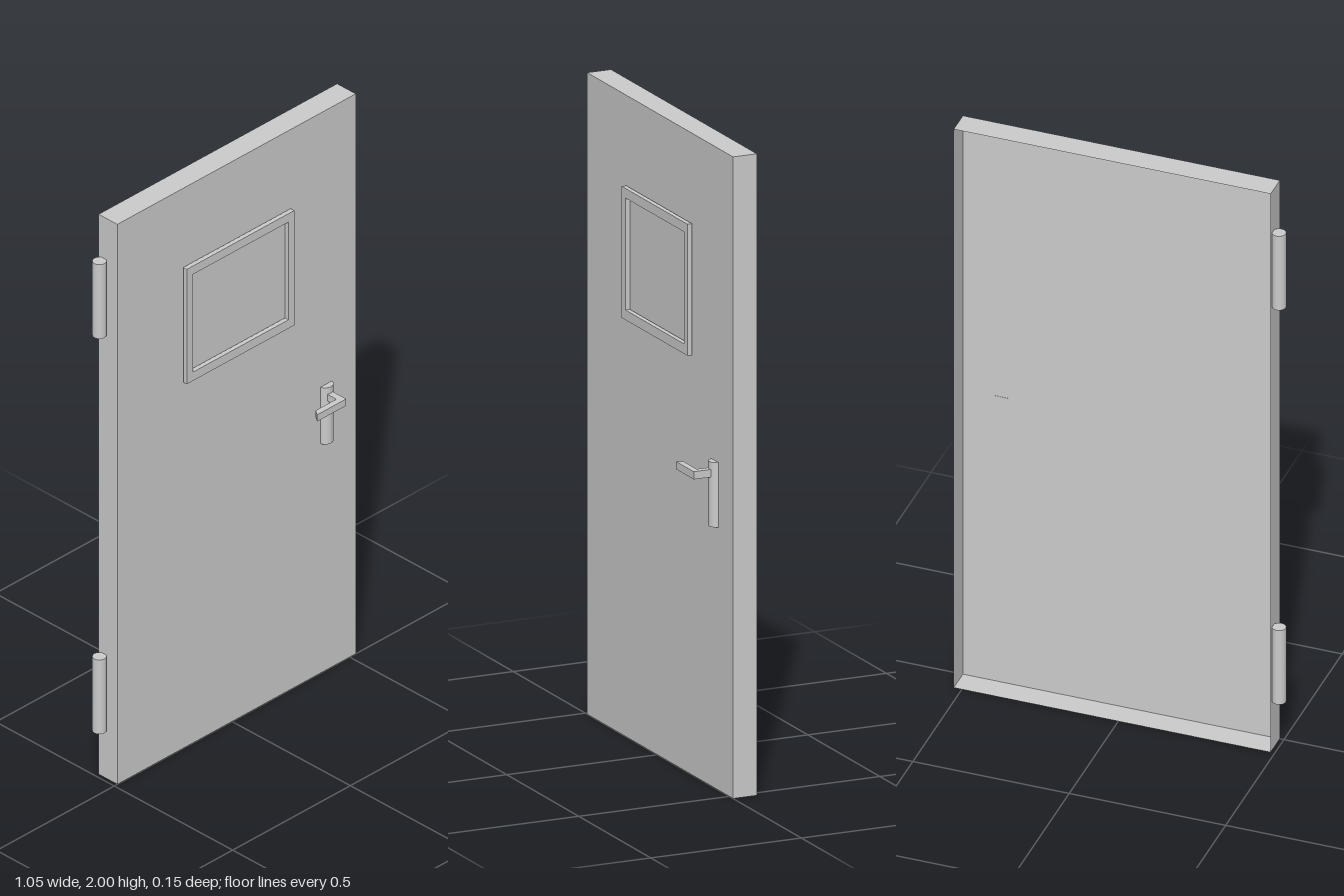
import * as THREE from 'three';

const material = new THREE.MeshStandardMaterial({ color: 0xcccccc, side: THREE.DoubleSide });

function addMesh(parent, name, geometry, x = 0, y = 0, z = 0) {
  const mesh = new THREE.Mesh(geometry, material);
  mesh.name = name;
  mesh.position.set(x, y, z);
  parent.add(mesh);
  return mesh;
}

function rectanglePoints(x0, y0, x1, y1) {
  return [[x0, y0], [x1, y0], [x1, y1], [x0, y1]].map(([x, y]) => new THREE.Vector2(x, y));
}

function extrude(shape, depth) {
  return new THREE.ExtrudeGeometry(shape, { depth, bevelEnabled: false, curveSegments: 12 });
}

export function createModel() {
  const door = new THREE.Group();
  door.name = 'door';

  // Door leaf: a pressed sheet with folded edges, open at the back
  const leaf = new THREE.BoxGeometry(1.013, 2, 0.079);
  leaf.setIndex(Array.from(leaf.index.array).slice(0, 30)); // drop the back face
  leaf.clearGroups();
  addMesh(door, 'doorLeaf', leaf, 0.0195, 1, -0.0395);

  // Raised window frame
  const frame = new THREE.Shape(rectanglePoints(-0.21, 1.31, 0.247, 1.72));
  frame.holes.push(new THREE.Path(rectanglePoints(-0.184, 1.341, 0.222, 1.69)));
  addMesh(door, 'windowFrame', extrude(frame, 0.015), 0, 0, 0.003);

  // Hinge barrels on the right edge
  for (const [name, y] of [['lowerHinge', 0.308], ['upperHinge', 1.72]]) {
    addMesh(door, name, new THREE.CylinderGeometry(0.0215, 0.0215, 0.265, 24), -0.506, y, -0.057);
  }

  // Handle: half-round back plate with a flat rear, plus a bent square lever
  const handle = new THREE.Group();
  handle.name = 'handle';
  door.add(handle);

  const plate = new THREE.Shape();
  plate.absellipse(0, 0, 0.0235, 0.021, Math.PI, 2 * Math.PI);
  plate.closePath();
  const plateGeometry = extrude(plate, 0.202).rotateX(-Math.PI / 2);
  addMesh(handle, 'handlePlate', plateGeometry, 0.4005, 0.819, -0.001);

  // Lever outline in plan (x, -z), extruded upwards
  const lever = new THREE.Shape([
    [0.388, -0.015], [0.388, -0.055], [0.3, -0.055], [0.286, -0.075], [0.41, -0.075], [0.41, -0.015],
  ].map(([x, y]) => new THREE.Vector2(x, y)));
  addMesh(handle, 'lever', extrude(lever, 0.024).rotateX(-Math.PI / 2), 0, 0.974, 0);

  return door;
}
